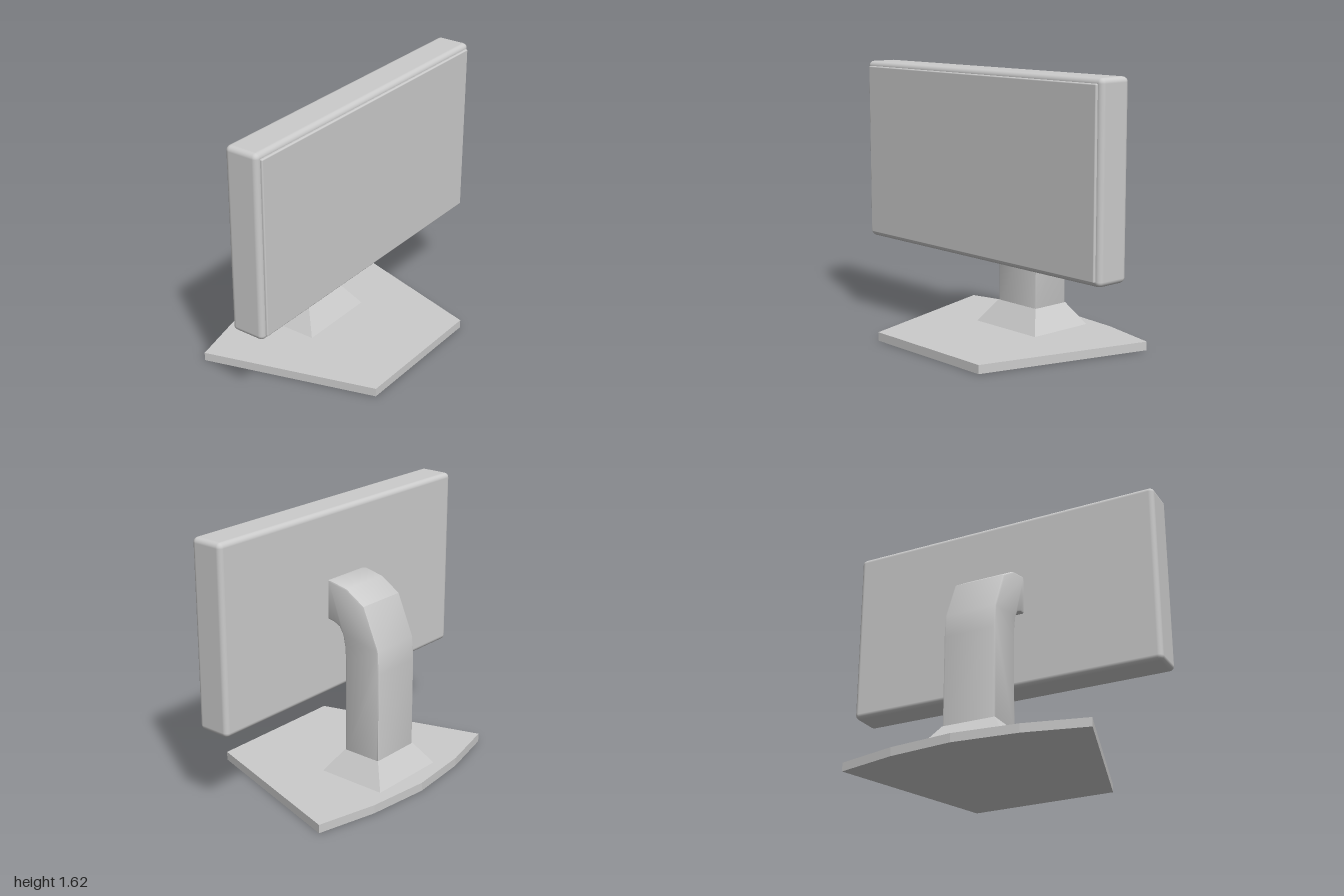
import * as THREE from 'three';
import { RoundedBoxGeometry } from 'three/addons/geometries/RoundedBoxGeometry.js';
import { toCreasedNormals } from 'three/addons/utils/BufferGeometryUtils.js';

const material = new THREE.MeshStandardMaterial({ color: 0xcccccc });

function addPart(group, name, geometry, x = 0, y = 0, z = 0) {
  const mesh = new THREE.Mesh(geometry, material);
  mesh.name = name;
  mesh.position.set(x, y, z);
  group.add(mesh);
}

const outline = (points) => new THREE.Shape(points.map(([x, y]) => new THREE.Vector2(x, y)));

// Fan-shaped foot plate with a shallow faceted arc at the back
function basePlate() {
  const shape = outline([
    [-0.45, -0.575], [0.45, -0.575], [0.76, 0.45], [0.39, 0.54],
    [0, 0.58], [-0.39, 0.54], [-0.76, 0.45],
  ]);
  const geometry = new THREE.ExtrudeGeometry(shape, { depth: 0.052, bevelEnabled: false });
  return geometry.rotateX(-Math.PI / 2);
}

// Tapered collar: a box whose lower corners spread outwards
function collar() {
  const geometry = new THREE.BoxGeometry(0.326, 0.14, 0.25);
  const p = geometry.attributes.position;
  for (let i = 0; i < p.count; i++) {
    if (p.getY(i) < 0) p.setXYZ(i, Math.sign(p.getX(i)) * 0.257, p.getY(i), Math.sign(p.getZ(i)) * 0.22);
  }
  geometry.computeVertexNormals();
  return geometry;
}

// Bent neck: side profile (z, y) extruded across the width with softened edges
function neck() {
  const bevel = 0.012;
  const width = 0.326;
  const shape = outline([
    [-0.13, 0.16], [-0.132, 0.75], [-0.125, 0.84], [-0.112, 0.905], [-0.085, 0.95],
    [-0.045, 0.969], [0, 0.977], [0, 1.212], [-0.02, 1.215], [-0.14, 1.19],
    [-0.265, 1.112], [-0.371, 0.87], [-0.38, 0.73], [-0.38, 0.16],
  ]);
  const geometry = new THREE.ExtrudeGeometry(shape, {
    depth: width - 2 * bevel, bevelThickness: bevel, bevelSize: bevel, bevelOffset: -bevel, bevelSegments: 2,
  });
  geometry.translate(0, 0, bevel - width / 2).rotateY(-Math.PI / 2);
  return toCreasedNormals(geometry, 0.55);
}

export function createModel() {
  const group = new THREE.Group();
  group.name = 'monitor';

  // Stand
  addPart(group, 'base', basePlate());
  addPart(group, 'collar', collar(), 0, 0.118, -0.255);
  addPart(group, 'neck', neck());

  // Display
  addPart(group, 'housing', new RoundedBoxGeometry(2, 1.105, 0.212, 3, 0.03), 0, 1.0675, 0.106);
  addPart(group, 'screen', new RoundedBoxGeometry(1.94, 1.05, 0.06, 2, 0.008), 0, 1.065, 0.196);
  return group;
}
